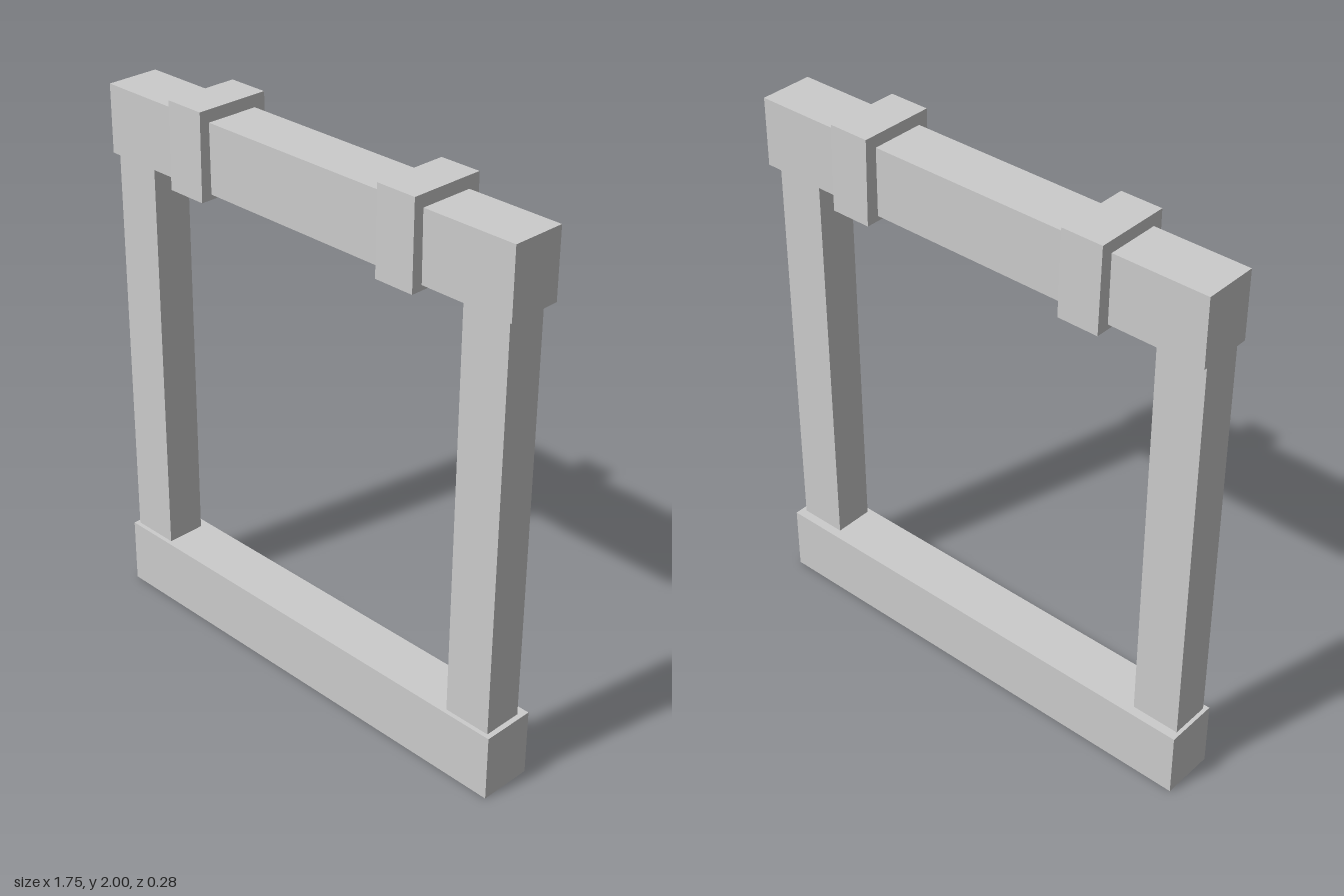
import * as THREE from 'three';

const material = new THREE.MeshStandardMaterial({ color: 0xcccccc, flatShading: true });

export function createModel() {
  const group = new THREE.Group();

  // Box given by its [min, max] extents on each axis
  const addBox = (name, [x0, x1], [y0, y1], [z0, z1]) => {
    const mesh = new THREE.Mesh(new THREE.BoxGeometry(x1 - x0, y1 - y0, z1 - z0), material);
    mesh.position.set((x0 + x1) / 2, (y0 + y1) / 2, (z0 + z1) / 2);
    mesh.name = name;
    group.add(mesh);
    return mesh;
  };

  // Horizontal beams
  addBox('bottomBeam', [-0.877, 0.877], [0, 0.243], [-0.093, 0.101]);
  addBox('topBeam', [-0.877, 0.877], [1.715, 1.957], [-0.093, 0.101]);

  // Upright posts, set slightly towards the front
  addBox('rightPost', [-0.863, -0.686], [0.243, 1.715], [-0.06, 0.085]);
  addBox('leftPost', [0.682, 0.858], [0.243, 1.715], [-0.06, 0.085]);

  // Bands wrapped around the top beam, flared a touch at the bottom
  const bands = [
    addBox('rightBand', [-0.536, -0.386], [1.697, 2], [-0.135, 0.137]),
    addBox('leftBand', [0.382, 0.531], [1.697, 2], [-0.135, 0.137]),
  ];
  for (const band of bands) {
    const p = band.geometry.attributes.position;
    for (let i = 0; i < p.count; i++) {
      if (p.getY(i) > 0) continue;
      p.setX(i, p.getX(i) + 0.003);
      p.setZ(i, p.getZ(i) * 1.03);
    }
    band.geometry.computeVertexNormals();
  }

  return group;
}
